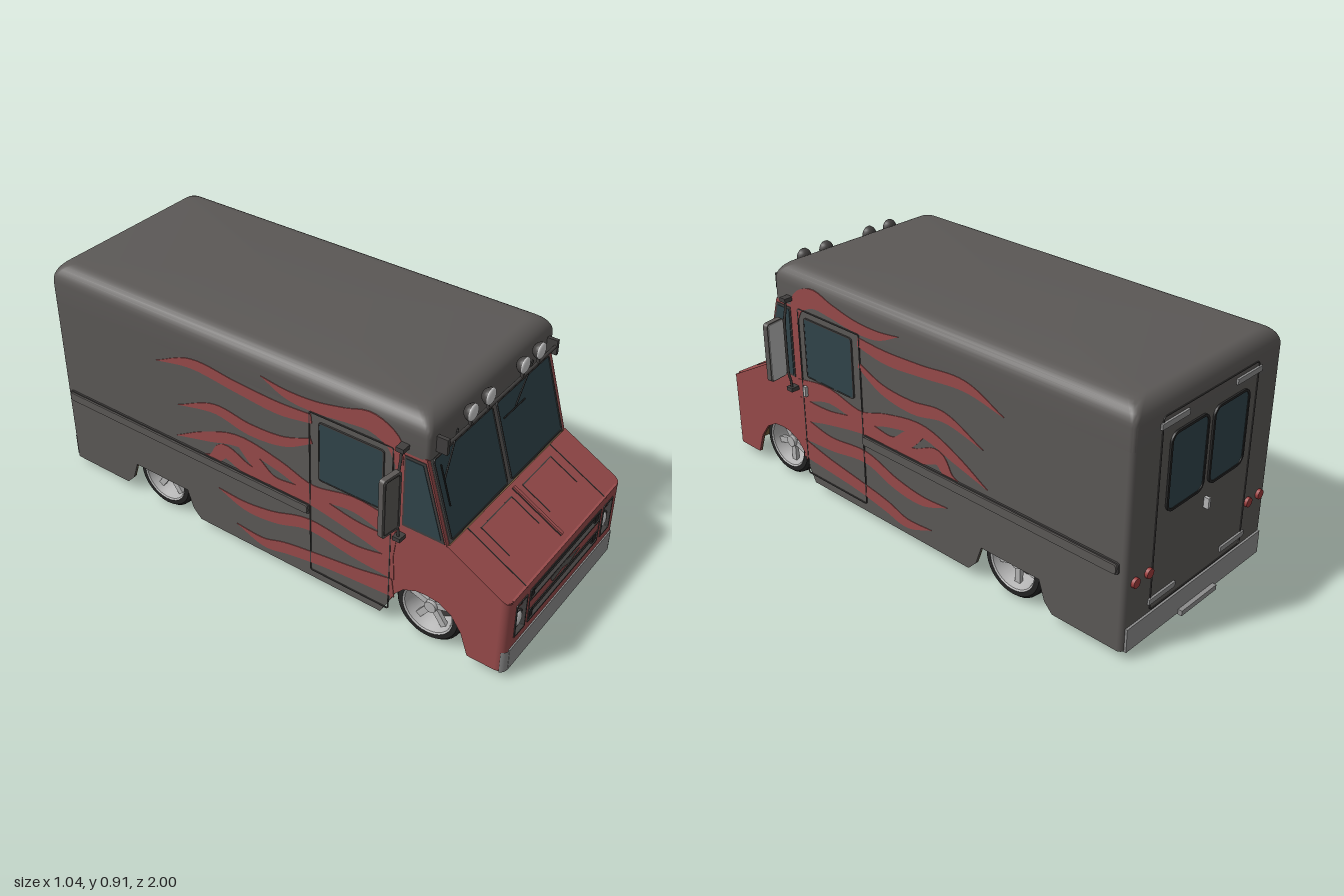
import * as THREE from 'three';
import { toCreasedNormals } from 'three/addons/utils/BufferGeometryUtils.js';

const mat = (name, color) => {
  const m = new THREE.MeshStandardMaterial({ color });
  m.name = name;
  return m;
};
const M = {
  grey: mat('bodyGrey', 0x5b5856), red: mat('bodyRed', 0x964a4a), bumper: mat('bumperGrey', 0x8c8c8c),
  glass: mat('tealGlass', 0x30434a), black: mat('rubberBlack', 0x242424), trim: mat('darkTrim', 0x403e3d),
  chrome: mat('chrome', 0xb4b4b4), brown: mat('linerBrown', 0x6b5636), lamp: mat('lampWhite', 0xcccccc),
  tail: mat('tailRed', 0x9c3a3a),
};

export function createModel() {
  const root = new THREE.Group();
  root.name = 'stepVan';
  const add = (name, geo, m, parent = root) => {
    const mesh = new THREE.Mesh(geo, m);
    mesh.name = name;
    parent.add(mesh);
    return mesh;
  };
  const group = (name, x, y, z, parent = root) => {
    const g = new THREE.Group();
    g.name = name;
    g.position.set(x, y, z);
    parent.add(g);
    return g;
  };
  const box = (name, m, x0, x1, y0, y1, z0, z1, parent) => {
    const b = add(name, new THREE.BoxGeometry(x1 - x0, y1 - y0, z1 - z0), m, parent);
    b.position.set((x0 + x1) / 2, (y0 + y1) / 2, (z0 + z1) / 2);
    return b;
  };
  const poly = (pts) => new THREE.Shape(pts.map((p) => new THREE.Vector2(p[0], p[1])));
  const rect = (x0, x1, y0, y1) => poly([[x0, y0], [x1, y0], [x1, y1], [x0, y1]]);
  const roundRect = (x0, x1, y0, y1, r) => {
    const s = new THREE.Shape();
    s.absarc(x1 - r, y1 - r, r, 0, Math.PI / 2);
    s.absarc(x0 + r, y1 - r, r, Math.PI / 2, Math.PI);
    s.absarc(x0 + r, y0 + r, r, Math.PI, Math.PI * 1.5);
    s.absarc(x1 - r, y0 + r, r, Math.PI * 1.5, Math.PI * 2);
    return s;
  };
  const ring = (x0, x1, y0, y1, r, t) => {
    const s = roundRect(x0, x1, y0, y1, r);
    s.holes.push(roundRect(x0 + t, x1 - t, y0 + t, y1 - t, Math.max(r - t, 0.002)));
    return s;
  };
  const extrude = (shape, depth) => new THREE.ExtrudeGeometry(shape, { depth, bevelEnabled: false, curveSegments: 8 });
  const plate = (name, m, shape, z, depth, parent) => {
    const p = add(name, extrude(shape, depth), m, parent);
    p.position.z = z;
    return p;
  };
  const rod = (name, m, a, b, r, parent) => {
    const A = new THREE.Vector3(...a), B = new THREE.Vector3(...b), d = B.clone().sub(A);
    const c = add(name, new THREE.CylinderGeometry(r, r, d.length(), 10), m, parent);
    c.position.copy(A).add(B).multiplyScalar(0.5);
    c.quaternion.setFromUnitVectors(new THREE.Vector3(0, 1, 0), d.normalize());
    return c;
  };
  // Plate on a body side, drawn in (-z, y); s is the side
  const sideShape = (name, m, shape, s, outer, depth) => {
    const p = add(name, extrude(shape, depth), m);
    p.rotation.y = Math.PI / 2;
    p.position.x = s > 0 ? outer - depth : -outer;
    return p;
  };
  const zy = (pts) => poly(pts.map(([z, y]) => [-z, y]));
  // Tapered flame outline along a smooth path of [z, y, width]
  const flame = (pts) => {
    const c = new THREE.CatmullRomCurve3(pts.map(([z, y, w]) => new THREE.Vector3(-z, y, w)));
    const up = [], down = [];
    for (let i = 0; i <= 28; i++) {
      const p = c.getPoint(i / 28), t = c.getTangent(i / 28), l = Math.hypot(t.x, t.y) || 1;
      const w = Math.max(p.z, 0.001) / 2;
      up.push([p.x - t.y / l * w, p.y + t.x / l * w]);
      down.push([p.x + t.y / l * w, p.y - t.x / l * w]);
    }
    return poly([...down, ...up.reverse()]);
  };

  // Roof: rounded plan rings rising over the shoulder
  const rings = [[0.76, 0]];
  for (let i = 0; i <= 8; i++) rings.push([0.84 + 0.07 * Math.sin(i * Math.PI / 16), 1 - Math.cos(i * Math.PI / 16)]);
  const pos = [], idx = [], N = 24;
  for (const [y, k] of rings) {
    const w = 0.395 - 0.07 * k, zf = 0.672 - 0.07 * k, zb = -0.976 + 0.05 * k, r = 0.02 + 0.03 * k;
    for (let q = 0; q < 4; q++) for (let j = 0; j < 6; j++) {
      const a = (q + j / 5) * Math.PI / 2;
      const sx = q === 0 || q === 1 ? 1 : -1, front = q === 0 || q === 3;
      pos.push(sx * (w - r) + r * Math.sin(a), y, (front ? zf - r : zb + r) + r * Math.cos(a));
    }
  }
  for (let i = 0; i < rings.length - 1; i++) for (let j = 0; j < N; j++) {
    const a = i * N + j, b = i * N + (j + 1) % N;
    idx.push(a, b, b + N, a, b + N, a + N);
  }
  const last = (rings.length - 1) * N, mid = pos.length / 3;
  pos.push(0, 0.91, -0.15);
  for (let j = 0; j < N; j++) idx.push(last + j, last + (j + 1) % N, mid);
  const roof = new THREE.BufferGeometry();
  roof.setAttribute('position', new THREE.Float32BufferAttribute(pos, 3));
  roof.setIndex(idx);
  add('roof', toCreasedNormals(roof, 0.6), M.grey);

  // Sides, with wheel arches
  const nose = [[0.965, 0.033], [0.965, 0.346], [0.76, 0.46], [0.55, 0.46], [0.55, 0.11], [0.565, 0.145], [0.6, 0.185],
    [0.65, 0.207], [0.69, 0.211], [0.74, 0.205], [0.79, 0.175], [0.83, 0.12], [0.86, 0.033]];
  const wall = [[0.55, 0.11], [0.51, 0.033], [-0.31, 0.033], [-0.345, 0.07], [-0.37, 0.145], [-0.63, 0.145], [-0.655, 0.07],
    [-0.69, 0.033], [-0.956, 0.033], [-0.956, 0.76], [0.55, 0.76]];
  const flames = [
    [[0.565, 0.7, 0.03], [0.54, 0.78, 0.07], [0.46, 0.82, 0.075], [0.36, 0.805, 0.055], [0.24, 0.785, 0.045], [0.12, 0.785, 0.035], [0.01, 0.815, 0]],
    [[0.22, 0.73, 0.035], [0.08, 0.715, 0.05], [-0.1, 0.725, 0.045], [-0.3, 0.74, 0.04], [-0.47, 0.69, 0]],
    [[0.22, 0.64, 0.02], [0.1, 0.585, 0.04], [-0.05, 0.57, 0.05], [-0.2, 0.59, 0.04], [-0.38, 0.535, 0]],
    [[0.56, 0.42, 0.09], [0.4, 0.455, 0.065], [0.22, 0.43, 0.05], [0.08, 0.47, 0.05], [-0.1, 0.495, 0.05], [-0.25, 0.45, 0.04], [-0.4, 0.39, 0]],
    [[0.56, 0.34, 0.1], [0.4, 0.36, 0.06], [0.2, 0.395, 0.06], [0.05, 0.39, 0.05], [-0.03, 0.44, 0.06], [-0.09, 0.48, 0.03]],
    [[0.08, 0.39, 0.03], [-0.06, 0.385, 0.055], [-0.17, 0.42, 0.06], [-0.23, 0.36, 0.04], [-0.37, 0.345, 0]],
    [[0.56, 0.26, 0.1], [0.4, 0.25, 0.06], [0.2, 0.27, 0.05], [0.05, 0.225, 0.05], [-0.08, 0.21, 0.04], [-0.21, 0.235, 0]],
    [[0.56, 0.17, 0.08], [0.42, 0.15, 0.06], [0.25, 0.13, 0.05], [0.1, 0.105, 0.05], [0, 0.08, 0.04], [-0.13, 0.105, 0]],
  ];
  for (const s of [1, -1]) {
    sideShape('noseSide', M.red, zy(nose), s, 0.395, 0.008);
    sideShape('bodySide', M.grey, zy(wall), s, 0.395, 0.008);
    sideShape('noseLiner', M.brown, zy(nose), s, 0.386, 0.004);
    sideShape('sideLiner', M.brown, zy(wall), s, 0.386, 0.004);
    sideShape('cabPillar', M.red, zy([[0.755, 0.46], [0.665, 0.765], [0.55, 0.765], [0.55, 0.46]]), s, 0.395, 0.02);
    sideShape('quarterTrim', M.trim, zy([[0.748, 0.465], [0.663, 0.75], [0.585, 0.75], [0.585, 0.465]]), s, 0.397, 0.003);
    sideShape('quarterGlass', M.glass, zy([[0.735, 0.475], [0.655, 0.74], [0.592, 0.74], [0.592, 0.475]]), s, 0.399, 0.003);
    flames.forEach((f) => sideShape('flame', M.red, flame(f), s, 0.3975, 0.004));
    sideShape('doorSeam', M.trim, ring(-0.545, -0.21, 0.065, 0.76, 0.01, 0.004), s, 0.399, 0.004);
    sideShape('doorWindowTrim', M.trim, ring(-0.51, -0.25, 0.492, 0.733, 0.012, 0.005), s, 0.401, 0.006);
    sideShape('doorWindow', M.glass, roundRect(-0.507, -0.253, 0.495, 0.73, 0.01), s, 0.4, 0.005);
    sideShape('beltRailEdge', M.trim, roundRect(-0.21, 0.95, 0.322, 0.366, 0.01), s, 0.402, 0.008);
    sideShape('beltRail', M.grey, roundRect(-0.205, 0.945, 0.327, 0.361, 0.01), s, 0.409, 0.01);
    box('doorHandle', M.chrome, s * 0.403 - 0.007, s * 0.403 + 0.007, 0.41, 0.45, 0.515, 0.528);
  }

  // Rounded vertical corners; start and sweep are in quarter turns
  const corner = (name, m, x, z, r, y0, y1, start, sweep = 1) => {
    const c = add(name, new THREE.CylinderGeometry(r, r, y1 - y0, 6, 1, true, start * Math.PI / 2, sweep * Math.PI / 2), m);
    c.position.set(x, (y0 + y1) / 2, z);
  };
  [[1, 0, 1], [-1, 3, 2]].forEach(([s, f, b]) => {
    corner('noseCorner', M.red, s * 0.365, 0.965, 0.03, 0.033, 0.336, f);
    corner('bumperCorner', M.bumper, s * 0.365, 0.967, 0.032, 0.03, 0.12, s > 0 ? 0 : 3.3, 0.7);
    corner('rearCorner', M.grey, s * 0.375, -0.956, 0.02, 0.033, 0.76, b);
  });

  // Nose: fascia with openings, grille, headlights, bumper
  const fascia = rect(-0.365, 0.365, 0.12, 0.335);
  const openings = [[-0.25, 0.25, 0.248, 0.297], [-0.25, 0.25, 0.155, 0.207], [-0.342, -0.27, 0.155, 0.297], [0.27, 0.342, 0.155, 0.297]];
  openings.forEach((o) => {
    fascia.holes.push(rect(...o));
    plate('openingTrim', M.trim, ring(...o, 0.006, 0.006), 0.97, 0.028);
  });
  plate('fascia', M.red, fascia, 0.975, 0.02);
  plate('grilleFrame', M.trim, ring(-0.253, 0.253, 0.152, 0.3, 0.005, 0.004), 0.99, 0.007);
  box('grilleBacking', M.black, -0.36, 0.36, 0.122, 0.325, 0.95, 0.97);
  box('frontBumper', M.bumper, -0.366, 0.366, 0.03, 0.12, 0.968, 1);
  box('frontLiner', M.brown, -0.382, 0.382, 0.035, 0.27, 0.94, 0.955);
  for (const y of [0.181, 0.272]) {
    box('grilleBar', M.trim, -0.24, 0.24, y - 0.009, y + 0.009, 0.965, 0.99);
    for (const s of [1, -1]) {
      box('grilleEnd', M.black, s * 0.23 - 0.014, s * 0.23 + 0.014, y - 0.02, y + 0.02, 0.965, 0.994);
      for (let i = 0; i < 4; i++) box('grilleFin', M.bumper, s * (0.08 + i * 0.018) - 0.0015, s * (0.08 + i * 0.018) + 0.0015, y - 0.02, y + 0.02, 0.965, 0.974);
    }
  }
  plate('noseFlame', M.grey, poly([[-0.11, 0.243], [-0.09, 0.215], [-0.02, 0.225], [0.03, 0.21], [0.1, 0.228], [0.04, 0.235], [0.0, 0.245]]), 0.995, 0.002);
  for (const s of [1, -1]) {
    const bezel = add('headlightRing', new THREE.TorusGeometry(0.034, 0.004, 8, 24), M.trim);
    bezel.position.set(s * 0.306, 0.205, 0.982);
    const lens = add('headlight', new THREE.SphereGeometry(0.032, 20, 12), M.lamp);
    lens.scale.z = 0.5;
    lens.position.set(s * 0.306, 0.205, 0.979);
    box('markerLamp', M.red, s * 0.306 - 0.028, s * 0.306 + 0.028, 0.256, 0.278, 0.965, 0.985);
  }

  // Hood
  const hood = group('hood', 0, 0.33, 0.995);
  hood.rotation.x = -Math.atan2(0.235, 0.13);
  const HL = 0.2686, hs = new THREE.Shape();
  hs.moveTo(-0.365, 0).lineTo(0.365, 0).quadraticCurveTo(0.395, 0, 0.395, 0.034).lineTo(0.395, HL);
  hs.lineTo(-0.395, HL).lineTo(-0.395, 0.034).quadraticCurveTo(-0.395, 0, -0.365, 0);
  plate('hoodPanel', M.red, hs, -0.012, 0.012, hood);
  box('hoodRidge', M.red, -0.006, 0.006, 0.03, 0.255, 0, 0.008, hood);
  for (const s of [1, -1]) {
    for (const [x, y0, y1] of [[0.008, 0.03, 0.255], [0.038, 0.11, 0.235], [0.235, 0.11, 0.235], [0.278, 0, HL]])
      box('hoodSeam', M.trim, s * x - 0.0015, s * x + 0.0015, y0, y1, 0, 0.002, hood);
    box('hoodSeam', M.trim, s * 0.1365 - 0.1, s * 0.1365 + 0.1, 0.235, 0.239, 0, 0.002, hood);
  }

  // Windshield and wipers
  const shield = group('windshield', 0, 0.46, 0.755);
  shield.rotation.x = -Math.atan2(0.09, 0.3);
  box('windshieldFrame', M.grey, -0.38, 0.38, 0, 0.315, -0.015, 0.002, shield);
  for (const s of [1, -1]) {
    const x0 = s > 0 ? 0.012 : -0.37, x1 = s > 0 ? 0.37 : -0.012;
    plate('windshieldGlass', M.glass, roundRect(x0, x1, 0.008, 0.305, 0.012), 0.001, 0.003, shield);
    plate('windshieldSeal', M.trim, ring(x0, x1, 0.008, 0.305, 0.012, 0.004), 0.001, 0.006, shield);
  }
  const wipers = [[[0.24, 0.35], [0.11, 0.243]], [[0.03, 0.238], [0.17, 0.238]], [[-0.24, 0.35], [-0.345, 0.22]], [[-0.345, 0.125], [-0.345, 0.275]]];
  wipers.forEach(([a, b]) => rod('wiper', M.black, [...a, a[1] > 0.3 ? 0.025 : 0.011], [...b, 0.011], 0.0028, shield));

  // Roof light bar
  rod('lightBar', M.trim, [-0.35, 0.813, 0.705], [0.35, 0.813, 0.705], 0.006);
  for (const s of [1, -1]) {
    box('barBracket', M.trim, s * 0.35 - 0.007, s * 0.35 + 0.007, 0.78, 0.838, 0.665, 0.712);
    for (const x of [0.11, 0.218]) {
      const lamp = group('roofLamp', s * x, 0.865, 0.715);
      const shell = add('lampShell', new THREE.SphereGeometry(0.031, 16, 8, 0, Math.PI * 2, 0, Math.PI / 2), M.trim, lamp);
      shell.rotation.x = -Math.PI / 2;
      const lens = add('lampLens', new THREE.SphereGeometry(0.03, 16, 10), M.lamp, lamp);
      lens.scale.z = 0.3;
      rod('lampStem', M.trim, [0, -0.052, -0.008], [0, -0.025, -0.008], 0.006, lamp);
    }
    // Door mirror
    const arm = [[0.39, 0.788], [0.416, 0.786], [0.419, 0.75], [0.428, 0.7], [0.428, 0.5], [0.419, 0.46], [0.416, 0.428], [0.39, 0.425]];
    const path = new THREE.CatmullRomCurve3(arm.map(([x, y]) => new THREE.Vector3(s * x, y, 0.585)), false, 'catmullrom', 0.2);
    add('mirrorArm', new THREE.TubeGeometry(path, 40, 0.005, 8), M.trim);
    for (const y of [0.788, 0.425]) box('mirrorMount', M.trim, s * 0.412 - 0.018, s * 0.412 + 0.018, y - 0.008, y + 0.008, 0.57, 0.6);
    const mirror = group('mirror', s * 0.477, 0.607, 0.585);
    mirror.rotation.y = s * 0.15;
    plate('mirrorShell', M.grey, roundRect(-0.042, 0.042, -0.116, 0.116, 0.012), -0.008, 0.02, mirror);
    plate('mirrorRim', M.trim, ring(-0.034, 0.034, -0.108, 0.108, 0.01, 0.003), 0.01, 0.004, mirror);
    plate('mirrorGlass', M.chrome, roundRect(-0.037, 0.037, -0.111, 0.111, 0.01), -0.011, 0.004, mirror);
  }

  // Rear wall, doors, lamps and bumper
  box('rearWall', M.grey, -0.375, 0.375, 0.033, 0.77, -0.976, -0.964);
  box('rearLiner', M.brown, -0.382, 0.382, 0.035, 0.27, -0.963, -0.955);
  box('rearBumper', M.bumper, -0.38, 0.38, 0.03, 0.12, -0.984, -0.97);
  box('rearStep', M.bumper, -0.1, 0.1, 0.025, 0.045, -1, -0.98);
  plate('rearDoorSeam', M.trim, ring(-0.26, 0.26, 0.125, 0.83, 0.015, 0.004), -0.979, 0.004);
  box('rearHandle', M.chrome, -0.018, -0.006, 0.39, 0.43, -0.995, -0.975);
  for (const s of [1, -1]) {
    const x0 = s * 0.113 - 0.096, x1 = s * 0.113 + 0.096;
    plate('rearWindow', M.glass, roundRect(x0, x1, 0.475, 0.75, 0.03), -0.98, 0.005);
    plate('rearWindowSeal', M.black, ring(x0 - 0.005, x1 + 0.005, 0.47, 0.755, 0.035, 0.009), -0.983, 0.008);
    for (const y of [0.165, 0.8]) box('rearHinge', M.bumper, s * 0.2 - 0.07, s * 0.2 + 0.07, y - 0.01, y + 0.01, -0.984, -0.975);
    for (const x of [0.28, 0.35]) rod('tailLamp', M.tail, [s * x, 0.285, -0.97], [s * x, 0.285, -0.988], 0.018);
  }

  // Underbody: floor, frame, driveline
  box('floor', M.brown, -0.384, 0.384, 0.27, 0.28, -0.96, 0.96);
  rod('driveShaft', M.trim, [0, 0.12, 0.45], [0, 0.13, -0.5], 0.018);
  rod('exhaust', M.trim, [-0.07, 0.1, 0.5], [-0.07, 0.1, -0.35], 0.015);
  box('engineSump', M.black, -0.09, 0.09, 0.09, 0.27, 0.45, 0.88);
  box('rearTank', M.black, -0.11, 0.11, 0.13, 0.26, -0.88, -0.66);
  add('differential', new THREE.SphereGeometry(0.05, 14, 10), M.black).position.set(0, 0.13, -0.5);
  for (const z of [0.82, 0.4, 0, -0.3, -0.7, -0.92]) box('crossMember', M.black, -0.15, 0.15, 0.14, 0.17, z - 0.015, z + 0.015);
  for (const s of [1, -1]) {
    box('frameRail', M.black, s * 0.15 - 0.02, s * 0.15 + 0.02, 0.11, 0.18, -0.94, 0.92);
    box('sillRail', M.black, s * 0.372 - 0.01, s * 0.372 + 0.01, 0.12, 0.18, -0.3, 0.5);
    for (const z of [0.69, -0.5]) box('leafSpring', M.trim, s * 0.19 - 0.015, s * 0.19 + 0.015, 0.1, 0.115, z - 0.15, z + 0.15);
  }

  // Wheels with dished rims and five spokes
  const lathe = (pts) => toCreasedNormals(new THREE.LatheGeometry(pts.map((p) => new THREE.Vector2(...p)), 36), 0.6);
  const tyreGeo = lathe([[0.09, -0.08], [0.118, -0.079], [0.128, -0.068], [0.131, -0.04], [0.131, 0.04], [0.128, 0.068], [0.118, 0.079], [0.1, 0.08]]);
  const dishGeo = lathe([[0.1, 0.08], [0.094, 0.076], [0.088, 0.055], [0.08, 0.03], [0.076, 0.005]]);
  for (const z of [0.69, -0.5]) {
    rod('axle', M.black, [-0.25, 0.131, z], [0.25, 0.131, z], 0.02);
    for (const s of [1, -1]) {
      const w = group('wheel', s * 0.3, 0.131, z);
      w.rotation.z = -s * Math.PI / 2;
      add('tyre', tyreGeo, M.black, w);
      add('rimDish', dishGeo, M.chrome, w);
      add('rimBack', new THREE.CylinderGeometry(0.09, 0.092, 0.07, 30), M.trim, w).position.y = -0.03;
      add('hub', new THREE.CylinderGeometry(0.022, 0.028, 0.06, 20), M.chrome, w).position.y = 0.035;
      for (let i = 0; i < 5; i++) {
        const spoke = group('spoke', 0, 0.045, 0, w);
        spoke.rotation.y = i * Math.PI * 0.4;
        box('spokeArm', M.chrome, 0.015, 0.086, -0.008, 0.008, -0.012, 0.012, spoke);
      }
    }
  }
  return root;
}
